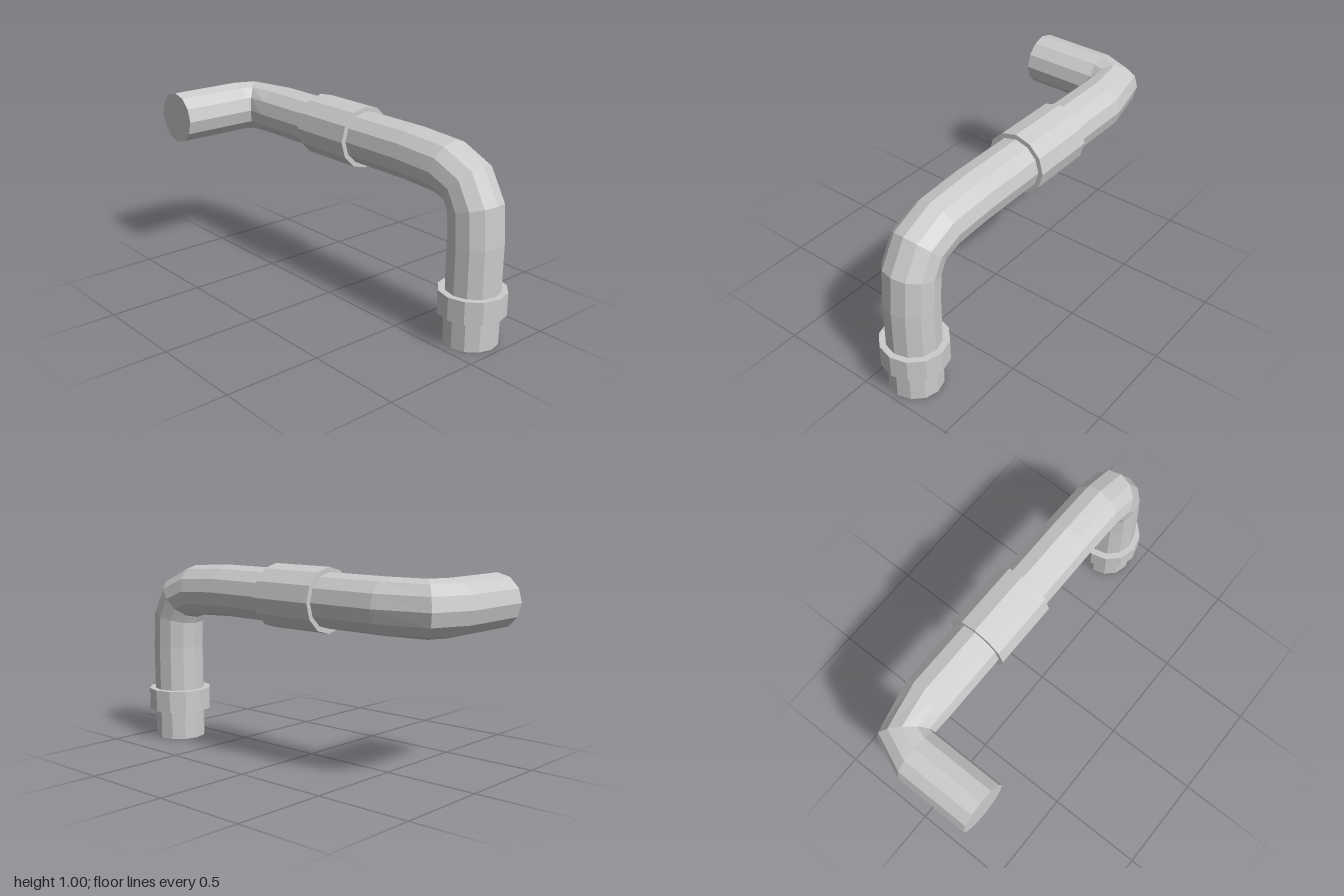
import * as THREE from 'three';

const SIDES = 12;
const R = 0.135;
const PX = 0.178; // x of the long run
const PY = 0.837; // height of the long run

// Cross-sections along the pipe: centre x, y, z, then pitch and yaw in degrees
const SECTIONS = [
  [PX, 0, 0.835, 0, 0],
  [PX, 0.51, 0.835, 0, 0],
  [PX, 0.675, 0.824, 15, 0],
  [PX, 0.775, 0.77, 48, 0],
  [PX, 0.824, 0.65, 77, 0],
  [PX, PY, 0.42, 90, 0],
  [PX, PY, -0.63, 90, 0],
  [0.146, PY, -0.823, 90, 43],
  [0.04, PY, -0.865, 90, 90],
  [-0.35, PY, -0.865, 90, 90],
];

function pipeGeometry() {
  const pos = [], idx = [];
  for (const [x, y, z, pitch, yaw] of SECTIONS) {
    const p = THREE.MathUtils.degToRad(pitch), q = THREE.MathUtils.degToRad(yaw);
    for (let i = 0; i < SIDES; i++) {
      const t = (i / SIDES) * Math.PI * 2;
      const a = R * Math.cos(t), b = R * Math.sin(t);
      pos.push(x + b * Math.cos(q), y + a * Math.sin(p), z + a * Math.cos(p) - b * Math.sin(q));
    }
  }
  const last = (SECTIONS.length - 1) * SIDES;
  // Walls
  for (let s = 0; s < last; s += SIDES) {
    for (let i = 0; i < SIDES; i++) {
      const j = (i + 1) % SIDES;
      idx.push(s + i, s + j, s + SIDES + j, s + i, s + SIDES + j, s + SIDES + i);
    }
  }
  // End caps
  for (let i = 1; i < SIDES - 1; i++) {
    idx.push(0, i + 1, i, last, last + i, last + i + 1);
  }
  const indexed = new THREE.BufferGeometry();
  indexed.setAttribute('position', new THREE.Float32BufferAttribute(pos, 3));
  indexed.setIndex(idx);
  const g = indexed.toNonIndexed();
  g.computeVertexNormals();
  return g;
}

export function createModel() {
  const group = new THREE.Group();
  group.name = 'bentPipe';
  const material = new THREE.MeshStandardMaterial({ color: 0xcccccc, flatShading: true });

  const add = (name, geometry, x = 0, y = 0, z = 0) => {
    const mesh = new THREE.Mesh(geometry, material);
    mesh.name = name;
    mesh.position.set(x, y, z);
    group.add(mesh);
    return mesh;
  };

  // Pipe rising from the ground, running back and turning to the right
  add('pipe', pipeGeometry());

  // Collar around the upright
  add('baseCollar', new THREE.CylinderGeometry(0.168, 0.168, 0.117, SIDES), PX, 0.213, 0.833);

  // Coupling sleeve on the long run
  const sleeve = new THREE.CylinderGeometry(0.16, 0.16, 0.35, SIDES).rotateX(Math.PI / 2);
  add('couplingSleeve', sleeve, PX, PY, -0.1);

  return group;
}
